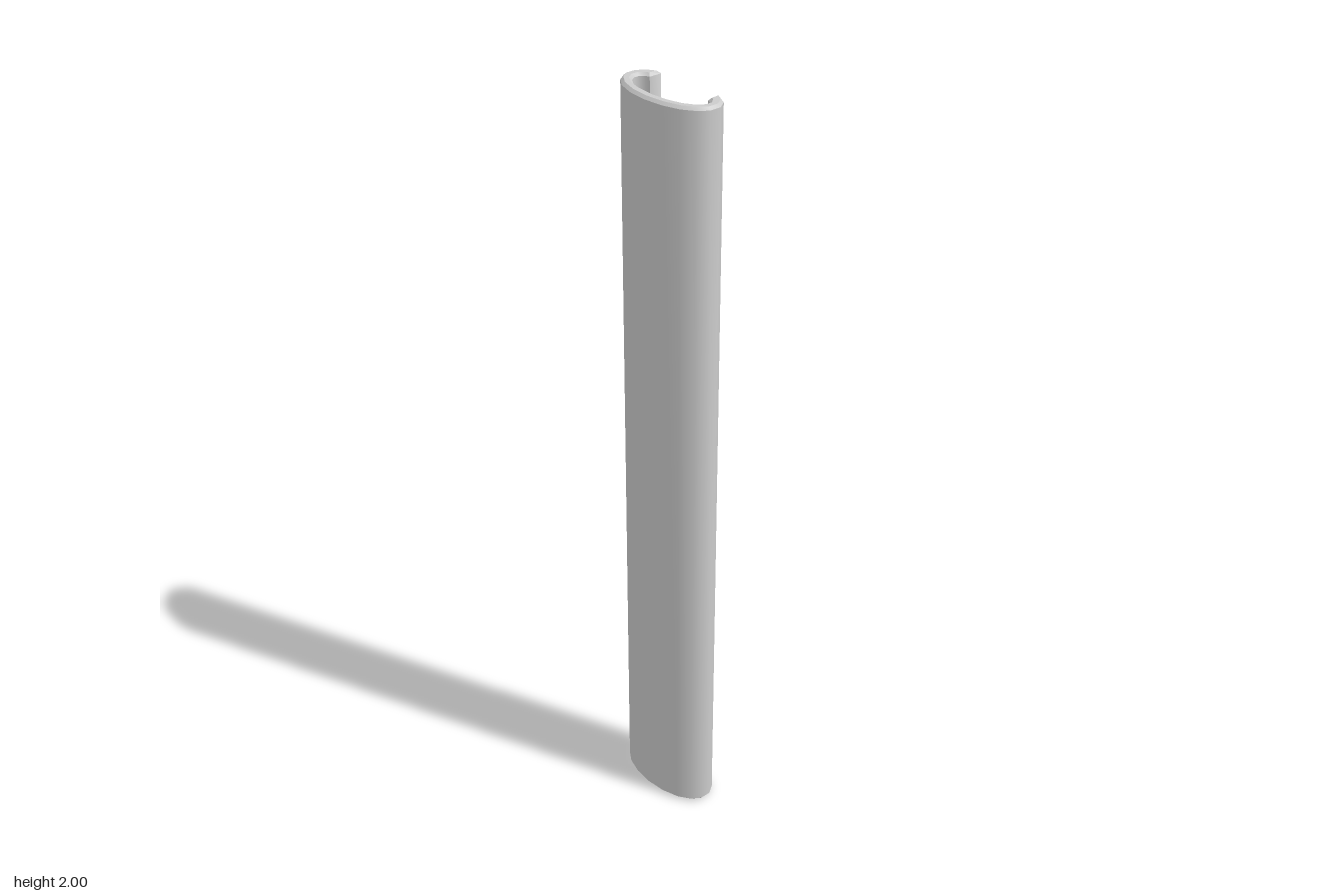
import * as THREE from 'three';
import { toCreasedNormals } from 'three/addons/utils/BufferGeometryUtils.js';

const HEIGHT = 2;
const BEVEL = 0.007;

// Half cross-sections [x, z], from the middle of the back to the lip
const OUTER = [[-0.068, 0], [-0.063, 0.053], [-0.049, 0.098], [-0.028, 0.129],
  [-0.004, 0.146], [0.026, 0.146], [0.051, 0.129], [0.067, 0.098]];
const INNER = [[-0.04, 0], [-0.036, 0.046], [-0.026, 0.083], [-0.011, 0.108],
  [0.004, 0.118], [0.017, 0.118], [0.029, 0.108], [0.033, 0.098]];

// Mirror a half profile into a run from the -z lip to the +z lip
function mirrored(half) {
  const other = half.slice(1).reverse().map(([x, z]) => [x, -z]);
  return [...other, ...half].map(([x, z]) => new THREE.Vector2(x, z));
}

export function createModel() {
  const group = new THREE.Group();
  group.name = 'channel';

  // C-shaped section, open towards +x, with chamfered ends
  const section = new THREE.Shape([...mirrored(OUTER), ...mirrored(INNER).reverse()]);
  const geometry = new THREE.ExtrudeGeometry(section, {
    depth: HEIGHT - 2 * BEVEL,
    bevelEnabled: true,
    bevelThickness: BEVEL,
    bevelSize: BEVEL,
    bevelOffset: -BEVEL,
    bevelSegments: 1,
  });
  geometry.rotateX(-Math.PI / 2);
  geometry.translate(0, BEVEL, 0);

  const rail = new THREE.Mesh(
    toCreasedNormals(geometry, 0.75),
    new THREE.MeshStandardMaterial({ color: 0xcccccc })
  );
  rail.name = 'curvedChannelRail';
  group.add(rail);
  return group;
}
